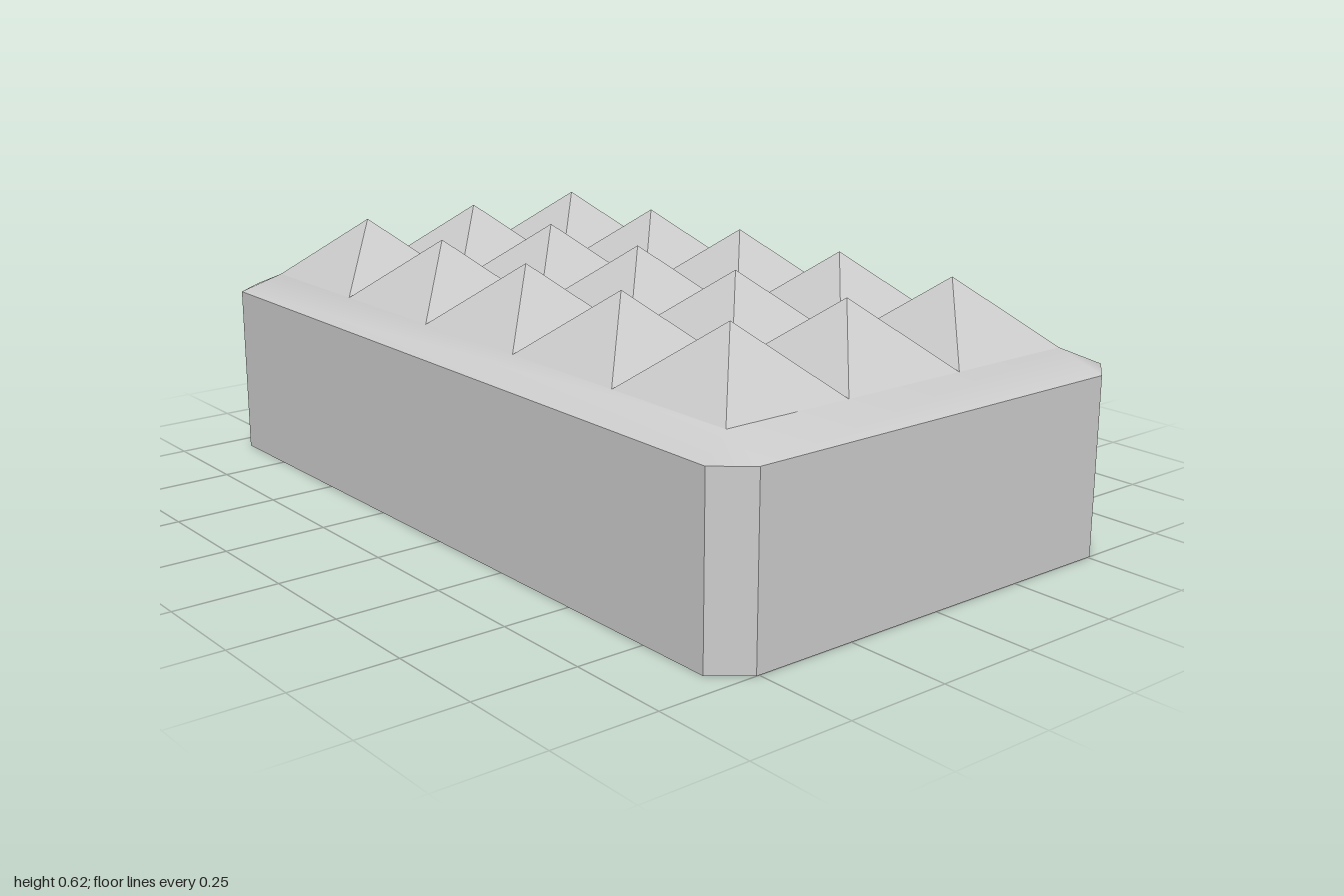
import * as THREE from 'three';

const HALF_X = 0.587, HALF_Z = 1.0, CUT_X = 0.08, CUT_Z = 0.065; // block outline
const WALL = 0.425, RIM = 0.468, PEAK = 0.622;                   // heights
const GRID_X = 0.495, GRID_Z = 0.888, COLS = 3, ROWS = 5;        // spike field

const material = new THREE.MeshStandardMaterial({ color: 0xcccccc });
const flatMaterial = new THREE.MeshStandardMaterial({ color: 0xcccccc, flatShading: true });

// Corners of the block in order, two per quadrant
const quadrants = [[1, 1], [-1, 1], [-1, -1], [1, -1]];
const outline = quadrants.flatMap(([sx, sy]) => {
  const pair = [
    new THREE.Vector2(sx * HALF_X, sy * (HALF_Z - CUT_Z)),
    new THREE.Vector2(sx * (HALF_X - CUT_X), sy * HALF_Z),
  ];
  return sx * sy > 0 ? pair : pair.reverse();
});

function addMesh(parent, name, geometry, mat) {
  const mesh = new THREE.Mesh(geometry, mat);
  mesh.name = name;
  parent.add(mesh);
  return mesh;
}

// Sloping rim from the eight-cornered outline up to the rectangular spike field
function rimGeometry() {
  const positions = [], index = [];
  for (const p of outline) positions.push(p.x, WALL, -p.y);
  for (const [sx, sy] of quadrants) positions.push(sx * GRID_X, RIM, -sy * GRID_Z);
  for (let i = 0; i < 8; i++) {
    const next = (i + 1) % 8;
    const inner = 8 + Math.floor(i / 2), innerNext = 8 + Math.floor(next / 2);
    index.push(i, next, innerNext);
    if (inner !== innerNext) index.push(i, innerNext, inner);
  }
  const geometry = new THREE.BufferGeometry();
  geometry.setAttribute('position', new THREE.Float32BufferAttribute(positions, 3));
  geometry.setIndex(index);
  geometry.computeVertexNormals(); // shared corners keep the rim smooth
  return geometry;
}

export function createModel() {
  const model = new THREE.Group();
  model.name = 'spikedBlock';

  // Block with cut corners
  const block = new THREE.ExtrudeGeometry(new THREE.Shape(outline), { depth: WALL, bevelEnabled: false });
  block.rotateX(-Math.PI / 2);
  addMesh(model, 'block', block, flatMaterial);

  addMesh(model, 'rim', rimGeometry(), material);

  // Grid of four-sided spikes standing edge to edge
  const spikes = new THREE.Group();
  spikes.name = 'spikes';
  model.add(spikes);
  const stepX = 2 * GRID_X / COLS, stepZ = 2 * GRID_Z / ROWS;
  const spike = new THREE.ConeGeometry(Math.SQRT1_2, 1, 4, 1, true, Math.PI / 4)
    .translate(0, 0.5, 0)
    .scale(stepX, PEAK - RIM, stepZ)
    .toNonIndexed();
  spike.computeVertexNormals();
  for (let row = 0; row < ROWS; row++) {
    for (let col = 0; col < COLS; col++) {
      const x = (col - (COLS - 1) / 2) * stepX, z = (row - (ROWS - 1) / 2) * stepZ;
      addMesh(spikes, 'spike', spike, flatMaterial).position.set(x, RIM, z);
    }
  }
  return model;
}
